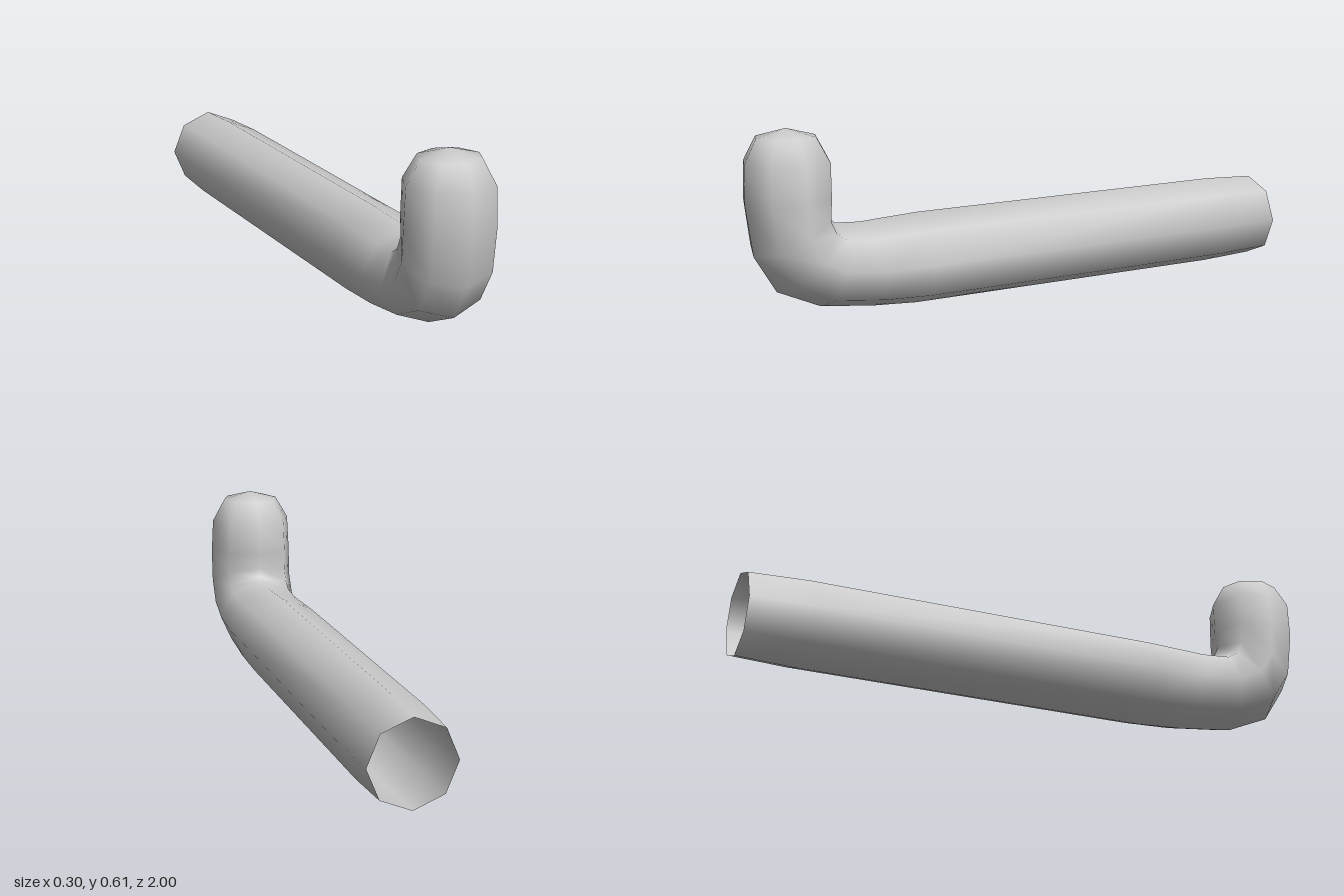
import * as THREE from 'three';

const SIDES = 8;

// Each ring: [outer z, outer y, inner z, inner y, half width], from the open end to the tip
const RINGS = [
  [-1, 0.01, -1, 0.295, 0.143],
  [-0.8, 0.002, -0.8, 0.304, 0.151],
  [0.4, 0.002, 0.4, 0.304, 0.151],
  [0.56, 0.012, 0.61, 0.294, 0.151],
  [0.75, 0.035, 0.695, 0.3, 0.151],
  [0.9, 0.1, 0.71, 0.315, 0.151],
  [0.975, 0.22, 0.722, 0.345, 0.151],
  [1, 0.385, 0.713, 0.4, 0.151],
  [0.998, 0.51, 0.713, 0.51, 0.145],
  [0.957, 0.588, 0.757, 0.588, 0.1],
];
const TIP = [0, 0.615, 0.857];

// Octagonal tube lofted through the rings and closed by a domed tip
function hookGeometry() {
  const pos = [], index = [];
  for (const [oz, oy, iz, iy, w] of RINGS) {
    const cz = (oz + iz) / 2, cy = (oy + iy) / 2;
    for (let j = 0; j < SIDES; j++) {
      const a = (j / SIDES) * Math.PI * 2, c = Math.cos(a);
      pos.push(Math.sin(a) * w, cy + c * (oy - cy), cz + c * (oz - cz));
    }
  }
  pos.push(...TIP);
  const last = RINGS.length - 1, tip = RINGS.length * SIDES;
  for (let i = 0; i <= last; i++) {
    for (let j = 0; j < SIDES; j++) {
      const a = i * SIDES + j, b = i * SIDES + (j + 1) % SIDES;
      if (i === last) index.push(a, b, tip);
      else index.push(a, b, a + SIDES, b, b + SIDES, a + SIDES);
    }
  }
  const geo = new THREE.BufferGeometry();
  geo.setAttribute('position', new THREE.Float32BufferAttribute(pos, 3));
  geo.setIndex(index);
  geo.computeVertexNormals();
  return geo;
}

export function createModel() {
  const group = new THREE.Group();
  group.name = 'hook';
  // Open at the back, so the inside shows too
  const material = new THREE.MeshStandardMaterial({ color: 0xcccccc, side: THREE.DoubleSide });
  const tube = new THREE.Mesh(hookGeometry(), material);
  tube.name = 'bentTube';
  group.add(tube);
  return group;
}
